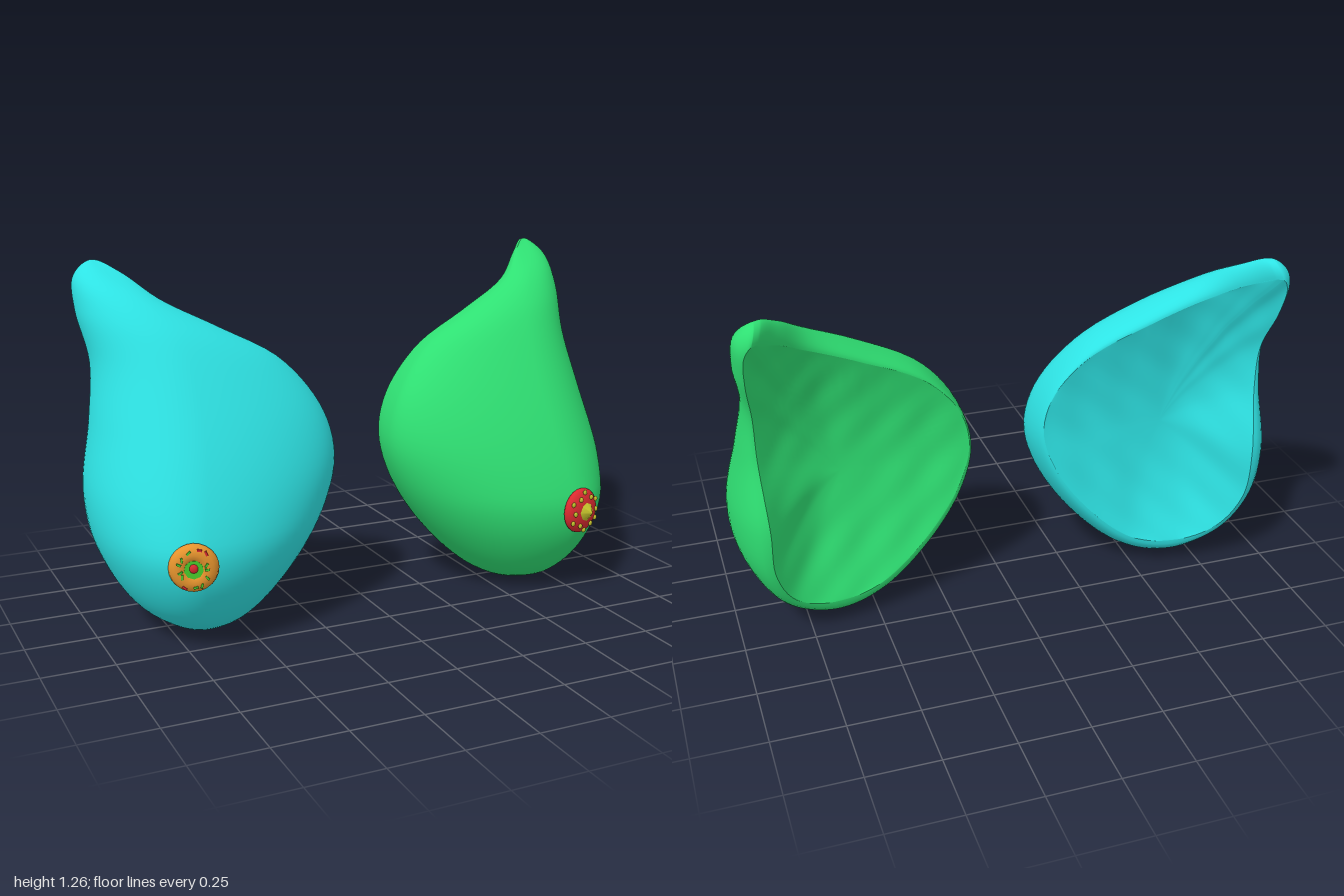
import * as THREE from 'three';
import { mergeVertices } from 'three/addons/utils/BufferGeometryUtils.js';

// Outline stations, clockwise from the tip: widest edge x,y,z | back rim x,y,z
const STATIONS = [
  [.88, 1.262, -.33, .90, 1.20, -.385],
  [.945, 1.21, -.325, .925, 1.16, -.375],
  [.955, 1.10, -.28, .925, 1.05, -.335],
  [.93, .93, -.195, .905, .90, -.268],
  [.955, .73, -.13, .90, .74, -.262],
  [.995, .48, -.07, .885, .50, -.32],
  [.965, .29, -.03, .875, .31, -.30],
  [.84, .09, 0, .80, .165, -.25],
  [.63, 0, .03, .66, .108, -.213],
  [.46, .055, .02, .49, .13, -.18],
  [.27, .235, 0, .31, .28, -.16],
  [.15, .43, 0, .19, .45, -.145],
  [.115, .58, 0, .14, .61, -.13],
  [.155, .74, -.01, .175, .75, -.13],
  [.29, .915, -.05, .30, .89, -.145],
  [.50, 1.035, -.08, .51, 1.00, -.175],
  [.69, 1.135, -.15, .70, 1.09, -.22],
  [.80, 1.225, -.26, .82, 1.165, -.31],
];
// Foremost line of the pod, from the bottom to the tip
const RIDGE = [
  [.63, 0, .03], [.645, .012, .11], [.66, .05, .20], [.69, .13, .275], [.71, .24, .33],
  [.72, .34, .345], [.705, .43, .325], [.67, .60, .26], [.65, .80, .16], [.67, 1.0, .04],
  [.71, 1.07, -.02], [.78, 1.15, -.115], [.845, 1.21, -.22], [.88, 1.262, -.33],
];
const HOLLOW = new THREE.Vector3(.6, .58, -.11);
const ROWS = 64, TOP = 1.262, BOTTOM = 8 / STATIONS.length;
const { lerp } = THREE.MathUtils;

const curveOf = (points, closed) =>
  new THREE.CatmullRomCurve3(points.map((p) => new THREE.Vector3(...p)), closed);
const edgeCurve = curveOf(STATIONS.map((s) => s.slice(0, 3)), true);
const rimCurve = curveOf(STATIONS.map((s) => s.slice(3)), true);
const ridgeCurve = curveOf(RIDGE, false);

// Curve parameter at a height, between an upper and a lower parameter
function paramAt(curve, upper, lower, y) {
  for (let i = 0; i < 30; i++) {
    const mid = (upper + lower) / 2;
    if (curve.getPoint(mid).y > y) upper = mid;
    else lower = mid;
  }
  return upper;
}

// One column per slice end: down the outer side, then up the inner side
const heights = Array.from({ length: ROWS + 1 }, (_, i) => TOP * (1 + Math.cos(i / ROWS * Math.PI)) / 2);
const columnAt = (t) => ({ edge: edgeCurve.getPoint(t), rim: rimCurve.getPoint(t) });
const columns = [
  ...heights.map((y) => columnAt(paramAt(edgeCurve, 0, BOTTOM, y))),
  ...heights.slice(1, -1).reverse().map((y) => columnAt(paramAt(edgeCurve, 1, BOTTOM, y))),
];
const closedColumns = [...columns, columns[0]];

// Front: horizontal slices, each rising from its two edges to the ridge
const frontGrid = heights.map((y, i) => {
  const ridge = ridgeCurve.getPoint(paramAt(ridgeCurve, 1, 0, y));
  const right = columns[i].edge, left = columns[(2 * ROWS - i) % (2 * ROWS)].edge;
  return Array.from({ length: 49 }, (_, k) => {
    const a = k / 48 * Math.PI, c = Math.abs(Math.cos(a)), edge = k < 24 ? left : right;
    return [lerp(ridge.x, edge.x, c), lerp(ridge.y, edge.y, c), lerp(edge.z, ridge.z, Math.sin(a))];
  });
});

// Side band: rolls from the widest edge to the back rim
const bandGrid = Array.from({ length: 11 }, (_, j) => {
  const a = j / 10 * Math.PI / 2, s = 1 - Math.cos(a);
  return closedColumns.map(({ edge, rim }) =>
    [lerp(edge.x, rim.x, s), lerp(edge.y, rim.y, s), lerp(edge.z, rim.z, Math.sin(a))]);
});

// Shallow, gently rippled hollow at the back
const hollowGrid = Array.from({ length: 25 }, (_, j) => {
  const a = j / 24 * Math.PI / 2, t = Math.sin(a);
  return closedColumns.map(({ rim }) => {
    const x = lerp(HOLLOW.x, rim.x, t), y = lerp(HOLLOW.y, rim.y, t);
    const ripple = .004 * Math.sin(x * 34 + y * 19) * Math.sin(y * 15) * Math.sin(2 * a);
    return [x, y, lerp(rim.z, HOLLOW.z, Math.cos(a) ** 2) + ripple];
  });
});

// Smooth surface from point grids; flip turns a grid to face the other way
function surface(grids, mirror) {
  const positions = [], index = [];
  grids.forEach(({ grid, flip }) => {
    const start = positions.length / 3, w = grid[0].length;
    grid.flat().forEach(([x, y, z]) => positions.push(x * mirror, y, z));
    for (let j = 0; j < grid.length - 1; j++) {
      for (let i = 0; i < w - 1; i++) {
        const a = start + j * w + i, b = a + 1, c = a + w, d = c + 1;
        if (flip !== (mirror < 0)) index.push(a, c, b, b, c, d);
        else index.push(a, b, c, b, d, c);
      }
    }
  });
  let g = new THREE.BufferGeometry();
  g.setAttribute('position', new THREE.Float32BufferAttribute(positions, 3));
  g.setIndex(index);
  g = mergeVertices(g, 1e-5);
  g.computeVertexNormals();
  return g;
}

function makeMaterial(name, color, flatShading = false) {
  const m = new THREE.MeshStandardMaterial({ color, flatShading });
  m.name = name;
  return m;
}

function addPart(group, name, geometry, material, x = 0, y = 0, z = 0) {
  const m = new THREE.Mesh(geometry, material);
  m.name = name;
  m.position.set(x, y, z);
  group.add(m);
  return m;
}

function makePod(name, material, mirror) {
  const pod = new THREE.Group();
  pod.name = name;
  addPart(pod, 'outerShell', surface([
    { grid: frontGrid, flip: true }, { grid: bandGrid, flip: false }], mirror), material);
  addPart(pod, 'innerHollow', surface([{ grid: hollowGrid, flip: true }], mirror), material);
  return pod;
}

export function createModel() {
  const model = new THREE.Group();
  model.name = 'podPair';
  const cyan = makeMaterial('cyan', 0x2ee3e4);
  const green = makeMaterial('green', 0x2fe073);
  const red = makeMaterial('berryRed', 0xdc2a30);
  const yellow = makeMaterial('seedYellow', 0xc8c62c);
  const orange = makeMaterial('ringOrange', 0xe8952e);
  const leaf = makeMaterial('leafGreen', 0x48cc2c, true);

  model.add(makePod('leftPod', green, 1), makePod('rightPod', cyan, -1));

  // Berry ornament, turned a little outward
  const berry = new THREE.Group();
  berry.name = 'berryOrnament';
  berry.position.set(.743, .325, .335);
  berry.rotation.y = .3;
  addPart(berry, 'berryBody', new THREE.SphereGeometry(.084, 20, 12), red).scale.z = .4;
  const cap = addPart(berry, 'berryCap', new THREE.ConeGeometry(.044, .034, 8), yellow, 0, 0, .04);
  cap.rotation.x = Math.PI / 2;
  for (let i = 0; i < 12; i++) {
    const a = i / 12 * Math.PI * 2, r = i % 2 ? .072 : .058;
    const z = .0336 * Math.sqrt(1 - (r / .084) ** 2) + .002;
    addPart(berry, 'seed', new THREE.SphereGeometry(.01, 8, 6), yellow,
      Math.cos(a) * r, Math.sin(a) * r, z).scale.z = .6;
  }

  // Ring ornament with sprinkles, turned a little outward
  const ring = new THREE.Group();
  ring.name = 'ringOrnament';
  ring.position.set(-.752, .328, .335);
  ring.rotation.y = -.3;
  addPart(ring, 'ringBody', new THREE.TorusGeometry(.049, .034, 12, 24), orange).scale.z = .85;
  const centre = addPart(ring, 'ringCentre', new THREE.CylinderGeometry(.032, .034, .02, 9), leaf, 0, 0, .015);
  centre.rotation.x = Math.PI / 2;
  addPart(ring, 'ringDot', new THREE.SphereGeometry(.016, 7, 5), red, 0, .004, .024).scale.z = .6;
  for (let i = 0; i < 13; i++) {
    const a = i * 2.4, r = .044 + (i % 4) * .008;
    const z = .029 * Math.sqrt(1 - ((r - .049) / .034) ** 2);
    const s = addPart(ring, 'sprinkle', new THREE.BoxGeometry(.016, .007, .007),
      i % 4 === 3 ? red : leaf, Math.cos(a) * r, Math.sin(a) * r, z);
    s.rotation.z = i * 1.7;
  }

  model.add(berry, ring);
  return model;
}
